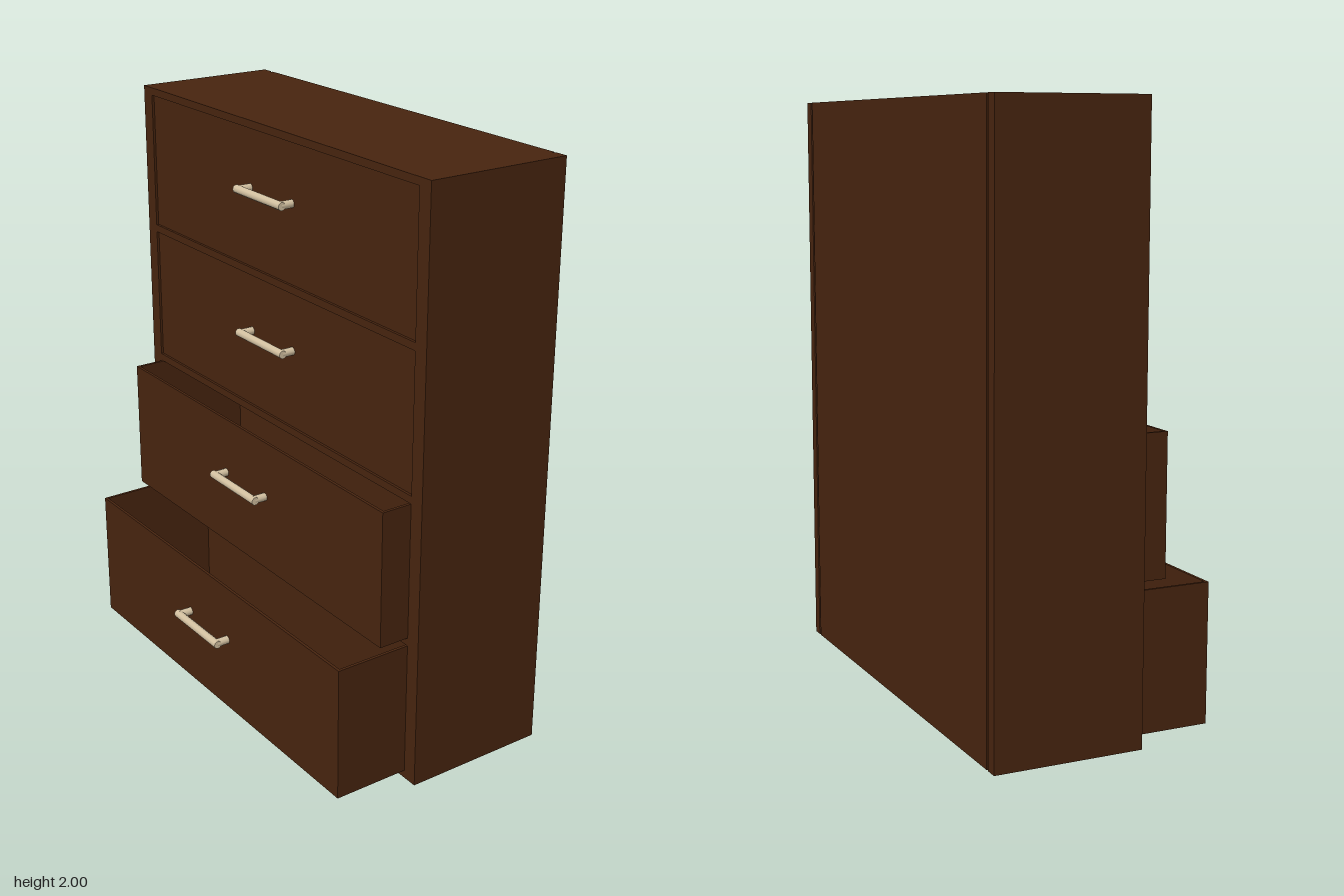
import * as THREE from 'three';

export function createModel() {
  const wood = new THREE.MeshStandardMaterial({ color: 0x47240f });
  wood.name = 'darkWood';
  const metal = new THREE.MeshStandardMaterial({ color: 0xd2c0a0 });
  metal.name = 'paleMetal';

  const W = 1.607, D = 0.507, H = 2;        // case size
  const post = 0.053, board = 0.026;        // case panel thicknesses
  const drawerW = 1.498, drawerH = 0.466, drawerD = 0.45, pitch = 0.494;

  const box = (parent, name, w, h, d, x, y, z) => {
    const mesh = new THREE.Mesh(new THREE.BoxGeometry(w, h, d), wood);
    mesh.name = name;
    mesh.position.set(x, y, z);
    parent.add(mesh);
  };

  const rod = (parent, name, a, b) => {
    const dir = new THREE.Vector3().subVectors(b, a);
    const mesh = new THREE.Mesh(new THREE.CylinderGeometry(0.014, 0.014, dir.length(), 10), metal);
    mesh.name = name;
    mesh.position.copy(a).add(b).multiplyScalar(0.5);
    mesh.quaternion.setFromUnitVectors(new THREE.Vector3(0, 1, 0), dir.normalize());
    parent.add(mesh);
  };

  // Bow handle: two legs joined by a bar
  const makeHandle = () => {
    const handle = new THREE.Group();
    handle.name = 'handle';
    const v = (x, z) => new THREE.Vector3(x, 0, z);
    const left = -0.136, right = 0.104, out = 0.046;
    rod(handle, 'handleBar', v(left - 0.013, out), v(right + 0.013, out));
    rod(handle, 'handleLeg', v(left, -0.003), v(left, out));
    rod(handle, 'handleLeg', v(right, -0.003), v(right, out));
    return handle;
  };

  // Open-topped drawer with its front face at z = 0
  const makeDrawer = () => {
    const drawer = new THREE.Group();
    drawer.name = 'drawer';
    const t = 0.01;
    box(drawer, 'drawerFront', drawerW, drawerH, t, 0, drawerH / 2, -t / 2);
    box(drawer, 'drawerBack', drawerW, drawerH, t, 0, drawerH / 2, -drawerD + t / 2);
    for (const s of [-1, 1])
      box(drawer, 'drawerSide', t, drawerH, drawerD - 2 * t, s * (drawerW - t) / 2, drawerH / 2, -drawerD / 2);
    box(drawer, 'drawerFloor', drawerW - 2 * t, t, drawerD - 2 * t, 0, t / 2, -drawerD / 2);
    const handle = makeHandle();
    handle.position.y = drawerH / 2 + 0.035;
    drawer.add(handle);
    return drawer;
  };

  const chest = new THREE.Group();
  chest.name = 'chestOfDrawers';

  // Side panels, with the outer front corner slightly eased
  for (const s of [-1, 1]) {
    const c = 0.012, o = s * W / 2, i = s * (W / 2 - post);
    const plan = new THREE.Shape([
      [i, D / 2], [o, D / 2], [o, -D / 2], [i, -D / 2],
    ].flatMap(([x, y], k) => k === 1
      ? [new THREE.Vector2(x - s * c, y), new THREE.Vector2(x, y - c)]
      : [new THREE.Vector2(x, y)]));
    const geo = new THREE.ExtrudeGeometry(plan, { depth: H, bevelEnabled: false });
    geo.rotateX(-Math.PI / 2).scale(1, 1, 1);
    // Plan is turned upright, so flip its depth by a half turn and swap sides
    geo.rotateY(Math.PI).rotateZ(Math.PI).rotateY(Math.PI).rotateX(0);
    geo.computeBoundingBox();
    const b = geo.boundingBox;
    geo.translate(s * (W - post) / 2 - (b.min.x + b.max.x) / 2, -b.min.y, 0);
    const side = new THREE.Mesh(geo, wood);
    side.name = 'sidePanel';
    chest.add(side);
  }

  // Back, then top, bottom and the boards between drawers
  const inner = W - 2 * post;
  box(chest, 'backPanel', inner, H, 0.02, 0, H / 2, -D / 2 + 0.01);
  const boardD = D - 0.02;
  box(chest, 'topBoard', inner, board, boardD, 0, H - board / 2, 0.01);
  box(chest, 'bottomBoard', inner, board, boardD, 0, board / 2, 0.01);
  for (let i = 1; i < 4; i++)
    box(chest, 'dividerBoard', inner, board, boardD, 0, 0.012 + pitch * i, 0.01);

  // Drawers from bottom to top, the lower two pulled out
  [0.519, 0.36, 0.246, 0.246].forEach((z, i) => {
    const drawer = makeDrawer();
    drawer.position.set(0, 0.026 + pitch * i, z);
    chest.add(drawer);
  });

  // The whole chest stands at an angle
  chest.rotation.y = -0.602;
  chest.position.set(0.05, 0, -0.097);
  const model = new THREE.Group();
  model.name = 'model';
  model.add(chest);
  return model;
}
